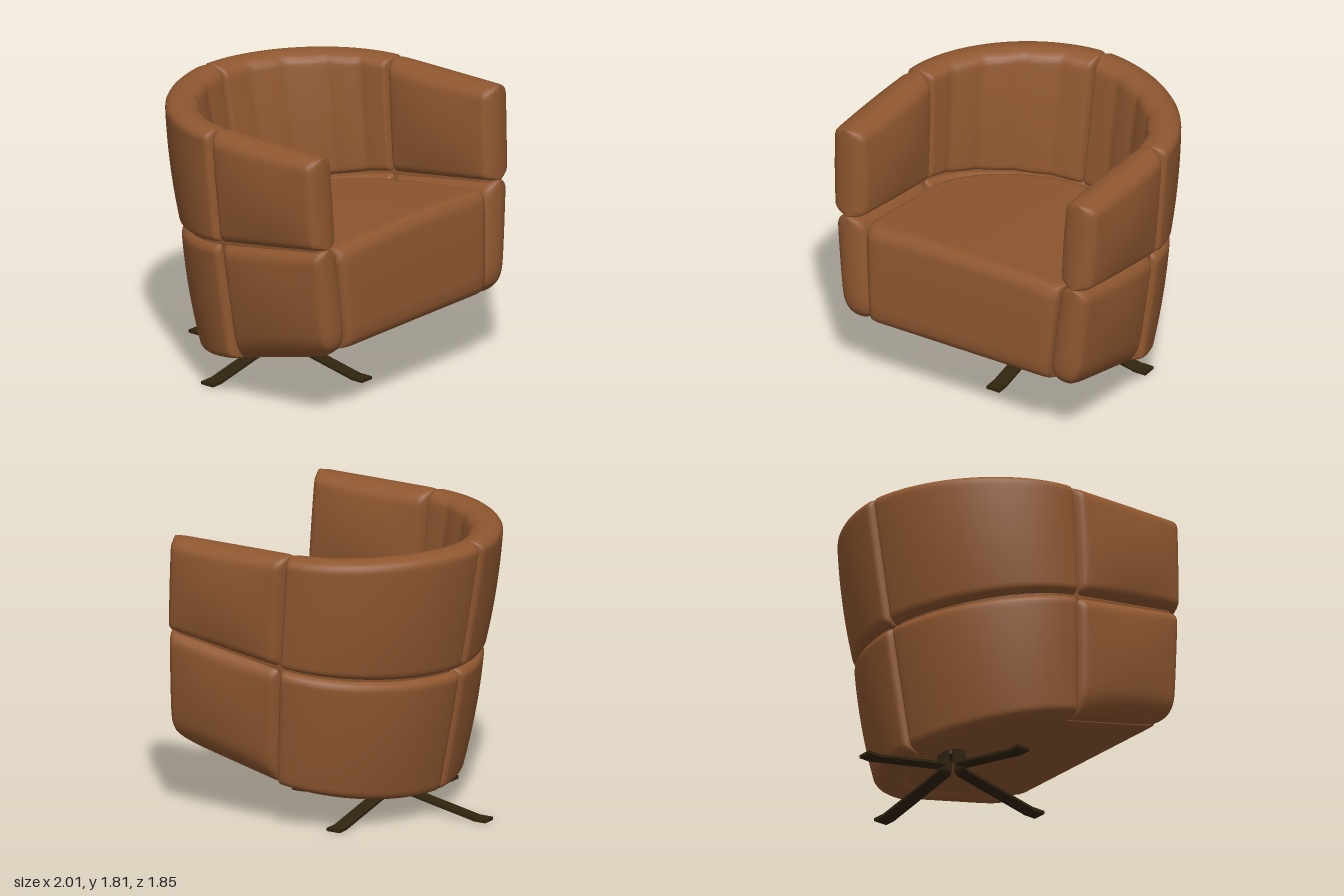
import * as THREE from 'three';
import { mergeVertices } from 'three/addons/utils/BufferGeometryUtils.js';

const lerp = (a, b, t) => a + (b - a) * t;
// value at bottom, middle seam and top, for t from 0 to 1
const tri = (low, mid, high, t) => (t < 0.5 ? lerp(low, mid, t * 2) : lerp(mid, high, t * 2 - 1));

// Centre surface of the tub shell
const halfWidth = t => tri(0.755, 0.835, 0.858, t);
const backDepth = t => tri(0.472, 0.63, 0.778, t);
const frontZ = t => tri(0.915, 0.885, 0.855, t);
const seamZ = t => tri(0.125, 0.06, 0, t);
const shellY = (z, t) => tri(0.255 + 0.245 * z, 1.062 + 0.157 * z, 1.81, t);

// Half plan outline: straight arm, then a slightly pointed elliptic back; x, z and outward direction
function armPlan(u, t) {
  return { x: halfWidth(t), z: lerp(frontZ(t), seamZ(t), u), nx: 1, nz: 0 };
}
function backPlan(u, t) {
  const a = halfWidth(t), c = seamZ(t) + backDepth(t), th = u * Math.PI / 2;
  const cs = Math.max(0, Math.cos(th)), sn = Math.sin(th);
  const nx = cs / a, nz = -sn / c, l = Math.hypot(nx, nz);
  return { x: a * Math.pow(cs, 1.1), z: seamZ(t) - c * Math.pow(sn, 1.1), nx: nx / l, nz: nz / l };
}
const shellPlan = (u, t) => (u < 0.4 ? armPlan(u / 0.4, t) : backPlan((u - 0.4) / 0.6, t));

// Surface over a grid of points, one layer per flip; closed grids wrap around in i
function grid(fn, nu, nv, flips, closed = false) {
  const pos = [], idx = [];
  flips.forEach((flip, layer) => {
    const base = pos.length / 3, w = closed ? nu : nu + 1;
    for (let j = 0; j <= nv; j++) for (let i = 0; i < w; i++) pos.push(...fn(i, j, layer));
    for (let j = 0; j < nv; j++) for (let i = 0; i < nu; i++) {
      const a = base + j * w + i, b = base + j * w + (i + 1) % w, c = b + w, d = a + w;
      if (flip) idx.push(a, c, b, a, d, c);
      else idx.push(a, b, c, a, c, d);
    }
  });
  const g = new THREE.BufferGeometry();
  g.setAttribute('position', new THREE.Float32BufferAttribute(pos, 3));
  g.setIndex(idx);
  const m = mergeVertices(g, 1e-4);
  m.computeVertexNormals();
  return m;
}

// Quarter-round edge profile
const edge = (d, r) => (d >= r ? 1 : Math.sqrt(Math.max(0, 1 - (1 - d / r) ** 2)));

// Stuffed cushion panel following the shell
function pad({ plan, t0, t1, length, thick, side, bulge, endRadius, topRadius, lowRadius, inset = 0, frontRound = 0, channels = 0 }) {
  const nu = channels ? 60 : 36, nv = 32;
  return grid((i, j, layer) => {
    let p = Math.sin((i / nu - 0.5) * Math.PI), q = Math.sin((j / nv - 0.5) * Math.PI);
    const round = edge((1 - Math.abs(p)) * length, endRadius) * edge((1 - Math.abs(q)) * 0.33, q < 0 ? lowRadius : topRadius);
    let h = thick * round * (1 - bulge + bulge * (1 - p * p) * (1 - q * q));
    // rounded lower front corner
    const k = p < 0 && q < 0 ? 1 - frontRound * Math.abs(p * q) ** 5 : 1;
    p *= k * (1 - inset);
    q *= k * (1 - inset);
    const u = (p + 1) / 2, t = lerp(t0, t1, (q + 1) / 2);
    // stitched channels on the inner face
    if (layer && channels) h -= 0.022 * round * (1 - Math.sqrt(Math.abs(Math.sin(u * channels * Math.PI)))) * (1 - p ** 8);
    const o = plan(u, t), s = layer ? -h : h;
    return [side * (o.x + o.nx * s), shellY(o.z, t), o.z + o.nz * s];
  }, nu, nv, [side < 0, side > 0]);
}

// Seat block: plan outlines stacked from underside to top
function seatGeometry() {
  // t, front z, scale
  const layers = [
    [0, 0.8, 0], [0, 0.8, 0.5], [0, 0.8, 0.95], [0, 0.82, 1], [0.012, 0.875, 1], [0.035, 0.902, 1], [0.09, 0.918, 1],
    [0.2, 0.92, 1], [0.6, 0.903, 1], [0.86, 0.89, 1], [0.94, 0.876, 1], [0.985, 0.845, 1], [1, 0.8, 1],
    [1, 0.79, 0.97], [1, 0.79, 0.5], [1, 0.79, 0],
  ];
  const N = 40;
  const outline = (t, zf) => {
    const w = lerp(0.665, 0.715, t), zs = lerp(0.12, 0.06, t), b = lerp(0.43, 0.54, t);
    const half = [[0, zf], [0.2, zf], [0.4, zf], [w - 0.12, zf], [w - 0.05, zf], [w - 0.015, zf - 0.015], [w, zf - 0.05], [w, zf - 0.2], [w, lerp(zf, zs, 0.6)]];
    for (let i = 0; i <= N; i++) {
      const th = i / N * Math.PI / 2;
      half.push([w * Math.max(0, Math.cos(th)) ** 1.1, zs - (zs + b) * Math.sin(th) ** 1.1]);
    }
    return [...half, ...half.slice(1, -1).reverse().map(([x, z]) => [-x, z])];
  };
  const rings = layers.map(([t, zf, s]) => outline(t, zf).map(([x0, z0]) => {
    const x = x0 * s, z = lerp(0.15, z0, s);
    const crown = 0.022 * t * (1 - (x / 0.72) ** 2);
    return [x, lerp(0.28 + 0.24 * z, 1.036 + 0.146 * z, t) + crown, z];
  }));
  return grid((i, j) => rings[j][i], rings[0].length, rings.length - 1, [false], true);
}

// Bent flat bar for one leg of the star base
function legGeometry() {
  const s = new THREE.Shape();
  s.moveTo(0.71, 0);
  s.lineTo(0.71, 0.02);
  s.lineTo(0.615, 0.02);
  s.lineTo(0.1, 0.122);
  s.quadraticCurveTo(0.076, 0.128, 0.076, 0.155);
  s.lineTo(0.076, 0.235);
  s.lineTo(0.06, 0.235);
  s.lineTo(0.06, 0.15);
  s.quadraticCurveTo(0.06, 0.115, 0.09, 0.107);
  s.lineTo(0.61, 0.004);
  s.lineTo(0.62, 0);
  s.closePath();
  const g = new THREE.ExtrudeGeometry(s, { depth: 0.096, bevelEnabled: false, curveSegments: 6 });
  return g.translate(0, 0, -0.048);
}

export function createModel() {
  const leather = new THREE.MeshStandardMaterial({ color: 0x8f5730 });
  leather.name = 'tan leather';
  const metal = new THREE.MeshStandardMaterial({ color: 0x30240f });
  metal.name = 'dark bronze';
  const model = new THREE.Group();
  model.name = 'tubChair';
  const add = (name, geometry, material, parent = model) => {
    const m = new THREE.Mesh(geometry, material);
    m.name = name;
    parent.add(m);
    return m;
  };

  // Shell cushions, mirrored, with a thin core closing the seams
  for (const [label, side] of [['left', 1], ['right', -1]]) {
    const arm = { plan: armPlan, length: 0.43, side, bulge: 0.3, endRadius: 0.06, topRadius: 0.075, lowRadius: 0.06 };
    const back = { plan: backPlan, length: 0.6, side, thick: 0.122, bulge: 0.16, endRadius: 0.045, topRadius: 0.05, lowRadius: 0.04 };
    add(label + 'UpperArm', pad({ ...arm, t0: 0.5, t1: 1, thick: 0.157 }), leather);
    add(label + 'LowerArm', pad({ ...arm, t0: 0, t1: 0.5, thick: 0.14, lowRadius: 0.15, frontRound: 0.12 }), leather);
    add(label + 'UpperBack', pad({ ...back, t0: 0.5, t1: 1, channels: 5 }), leather);
    add(label + 'LowerBack', pad({ ...back, t0: 0, t1: 0.5 }), leather);
    add(label + 'Core', pad({ ...back, plan: shellPlan, length: 1, thick: 0.055, t0: 0, t1: 1, inset: 0.03, frontRound: 0.08 }), leather);
  }
  add('seat', seatGeometry(), leather);

  // Four-star base
  const base = new THREE.Group();
  base.name = 'base';
  base.position.z = -0.215;
  model.add(base);
  const leg = legGeometry();
  for (let i = 0; i < 4; i++) add('leg' + (i + 1), leg, metal, base).rotation.y = i * Math.PI / 2;
  add('swivelPost', new THREE.CylinderGeometry(0.05, 0.05, 0.1, 24).translate(0, 0.25, 0), metal, base);
  return model;
}
